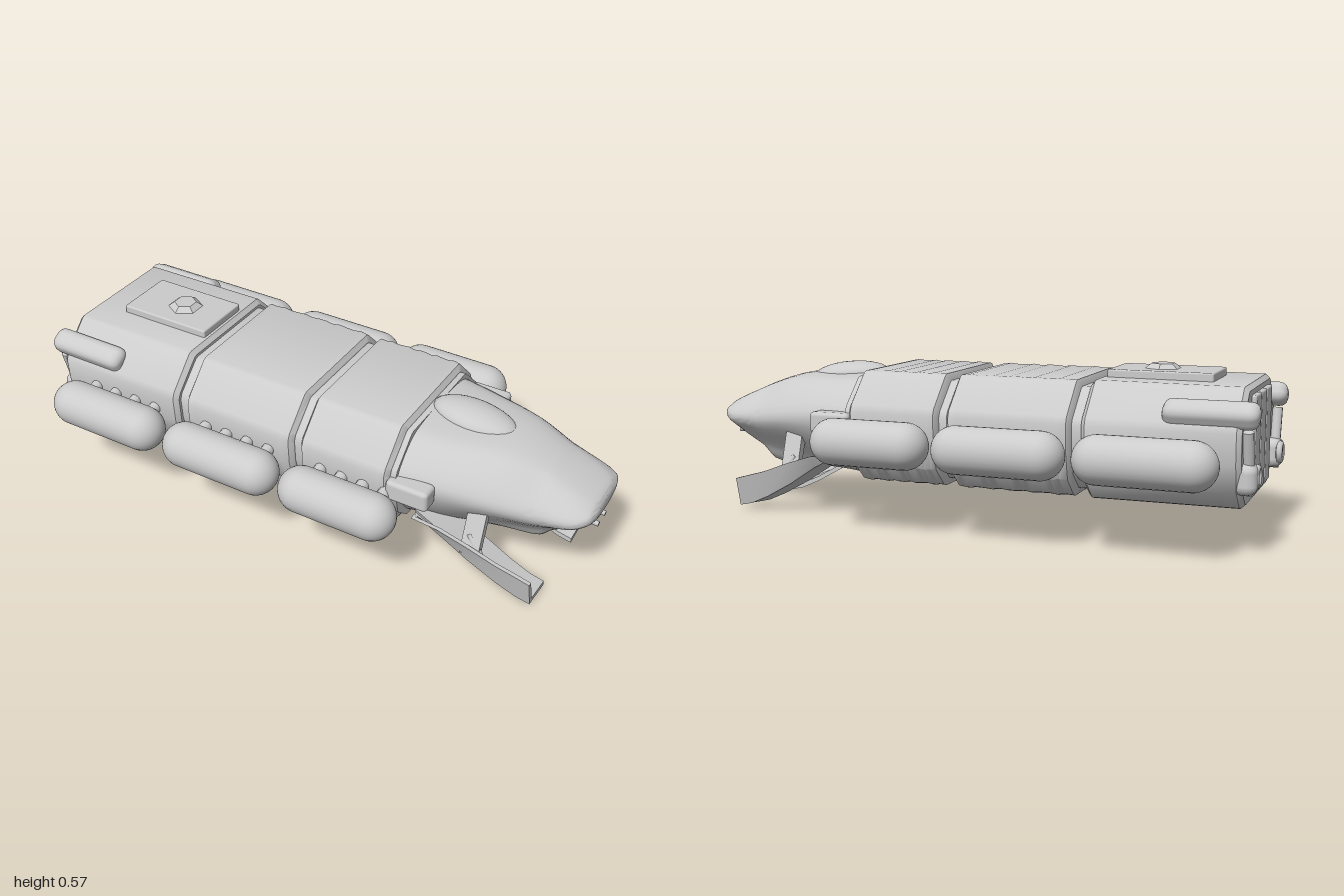
import * as THREE from 'three';
import { toCreasedNormals } from 'three/addons/utils/BufferGeometryUtils.js';
import { RoundedBoxGeometry } from 'three/addons/geometries/RoundedBoxGeometry.js';

const grey = new THREE.MeshStandardMaterial({ color: 0xcccccc });

// Skin a list of rings [x, [[z, y], ...]] and close both ends.
function loft(rings, crease = 0.6) {
  const n = rings[0][1].length, pos = [], idx = [];
  for (const [x, pts] of rings) for (const [z, y] of pts) pos.push(x, y, z);
  for (let s = 0; s < rings.length - 1; s++) {
    for (let i = 0; i < n; i++) {
      const a = s * n + i, b = s * n + (i + 1) % n;
      idx.push(a, b, a + n, b, b + n, a + n);
    }
  }
  for (const [s, flip] of [[0, true], [rings.length - 1, false]]) {
    const [x, pts] = rings[s], c = pos.length / 3;
    const mid = k => pts.reduce((t, p) => t + p[k], 0) / n;
    pos.push(x, mid(1), mid(0));
    for (let i = 0; i < n; i++) {
      const a = s * n + i, b = s * n + (i + 1) % n;
      flip ? idx.push(c, b, a) : idx.push(c, a, b);
    }
  }
  const g = new THREE.BufferGeometry();
  g.setAttribute('position', new THREE.Float32BufferAttribute(pos, 3));
  g.setIndex(idx);
  return toCreasedNormals(g, crease);
}

// Full ring from the +z half listed top to bottom.
const mirrorRing = half => [...half, ...half.map(([z, y]) => [-z, y]).reverse()];

export function createModel() {
  const model = new THREE.Group();
  const add = (name, geo, x = 0, y = 0, z = 0) => {
    const m = new THREE.Mesh(geo, grey);
    m.name = name;
    m.position.set(x, y, z);
    model.add(m);
    return m;
  };
  const box = (name, w, h, d, x, y, z, r = 0.01) =>
    add(name, new RoundedBoxGeometry(w, h, d, 2, r), x, y, z);
  // Straight round bar between two points
  const bar = (name, p, q, r) => {
    const a = new THREE.Vector3(...p), b = new THREE.Vector3(...q);
    const m = add(name, new THREE.CylinderGeometry(r, r, a.distanceTo(b), 10));
    m.position.copy(a).lerp(b, 0.5);
    m.quaternion.setFromUnitVectors(new THREE.Vector3(0, 1, 0), b.sub(a).normalize());
    return m;
  };

  // Hull sections: chamfered outline scaled about its middle
  const outline = [[0.2, 0.527], [0.215, 0.522], [0.315, 0.42], [0.325, 0.395], [0.32, 0.3],
    [0.297, 0.21], [0.23, 0.148], [0.21, 0.142]];
  const hullRing = (x, inset) => [x, mirrorRing(outline.map(([z, y]) =>
    [z * (1 - inset / 0.32), 0.335 + (y - 0.335) * (1 - inset / 0.19)]))];
  add('hullCore', loft([hullRing(-0.93, 0.025), hullRing(0.4, 0.025)]));
  add('rearHull', loft([hullRing(-0.95, 0.015), hullRing(-0.935, 0.002), hullRing(-0.46, 0),
    hullRing(-0.445, 0.015)]));
  // Cloth covered sections, slightly rippled along their length
  for (const [name, x0, x1] of [['middleHull', -0.41, 0.02], ['frontHull', 0.05, 0.38]]) {
    const rings = [hullRing(x0, 0.02)];
    for (let i = 0; i <= 14; i++) {
      const x = x0 + 0.012 + (x1 - x0 - 0.024) * i / 14;
      rings.push(hullRing(x, 0.002 + 0.002 * Math.sin(i * 2.3)));
    }
    rings.push(hullRing(x1, 0.02));
    add(name, loft(rings));
  }

  // Nose: half sections smoothed along the length and around
  const noseSections = [
    [0.36, [[0.11, 0.5], [0.2, 0.48], [0.295, 0.385], [0.295, 0.32], [0.24, 0.22], [0.15, 0.15]]],
    [0.52, [[0.11, 0.49], [0.18, 0.47], [0.265, 0.38], [0.262, 0.32], [0.19, 0.21], [0.12, 0.158]]],
    [0.7, [[0.09, 0.48], [0.15, 0.455], [0.225, 0.365], [0.225, 0.32], [0.13, 0.21], [0.08, 0.155]]],
    [0.82, [[0.08, 0.443], [0.13, 0.415], [0.192, 0.35], [0.192, 0.31], [0.11, 0.22], [0.07, 0.165]]],
    [0.86, [[0.08, 0.427], [0.125, 0.405], [0.183, 0.345], [0.182, 0.31], [0.11, 0.24], [0.07, 0.205]]],
    [0.95, [[0.07, 0.39], [0.11, 0.378], [0.16, 0.34], [0.16, 0.315], [0.1, 0.275], [0.06, 0.255]]],
    [0.99, [[0.055, 0.37], [0.085, 0.363], [0.125, 0.345], [0.125, 0.325], [0.08, 0.3], [0.045, 0.29]]],
    [1.0, [[0.04, 0.355], [0.06, 0.35], [0.09, 0.342], [0.09, 0.332], [0.06, 0.318], [0.035, 0.313]]],
  ];
  const rails = noseSections[0][1].map((_, k) => new THREE.CatmullRomCurve3(
    noseSections.map(([x, p]) => new THREE.Vector3(x, p[k][1], p[k][0])), false, 'centripetal'));
  const noseRings = [];
  for (let i = 0; i <= 28; i++) {
    const half = rails.map(c => c.getPoint(i / 28));
    const ring = new THREE.CatmullRomCurve3(mirrorRing(half.map(p => [p.z, p.y]))
      .map(([z, y]) => new THREE.Vector3(0, y, z)), true, 'centripetal');
    noseRings.push([half[0].x, ring.getPoints(48).slice(0, 48).map(p => [p.z, p.y])]);
  }
  add('nose', loft(noseRings, 1));

  // Low canopy swelling on top of the nose
  const canopy = add('canopy', new THREE.SphereGeometry(1, 24, 16), 0.53, 0.485, 0);
  canopy.scale.set(0.15, 0.047, 0.08);
  canopy.rotation.z = -0.1;

  // Roof hatch with hexagonal cap
  box('hatchPlate', 0.35, 0.035, 0.22, -0.645, 0.535, 0, 0.006);
  add('hatchCap', toCreasedNormals(new THREE.CylinderGeometry(0.04, 0.064, 0.018, 6), 0.3),
    -0.63, 0.56, 0);

  // Rear door leaves and lower step
  for (const z of [-0.105, 0, 0.105]) box('rearDoorPanel', 0.03, 0.32, 0.1, -0.95, 0.335, z, 0.008);

  for (const s of [1, -1]) {
    const side = s > 0 ? 'left' : 'right';
    // Side floats and their mounts
    for (const [x0, x1] of [[-0.905, -0.45], [-0.425, 0.02], [0.04, 0.46]]) {
      const r = 0.079;
      const f = add(side + 'Float', new THREE.CapsuleGeometry(r, x1 - x0 - 2 * r, 10, 28),
        (x0 + x1) / 2, 0.307, s * 0.417);
      f.rotation.z = Math.PI / 2;
      for (const t of [0.22, 0.41, 0.6, 0.79]) {
        const x = x0 + (x1 - x0) * t;
        bar(side + 'FloatMount', [x, 0.335, s * 0.3], [x, 0.32, s * 0.37], 0.022);
      }
    }
    // Collar joining hull and nose
    box(side + 'Collar', 0.15, 0.075, 0.07, 0.45, 0.35, s * 0.295, 0.015);

    // Rear corner pods and lamps
    const pod = box(side + 'RearPod', 0.3, 0.075, 0.085, -0.85, 0.448, s * 0.285, 0.03);
    pod.rotation.x = s * 0.5;
    box(side + 'RearBlock', 0.08, 0.1, 0.09, -0.955, 0.25, s * 0.255, 0.03);
    const lamp = add(side + 'RearLamp', new THREE.TorusGeometry(0.028, 0.011, 8, 20),
      -0.987, 0.255, s * 0.235);
    lamp.rotation.y = Math.PI / 2;
    bar(side + 'RearBumper', [-0.965, 0.2, s * 0.24], [-0.965, 0.4, s * 0.29], 0.018);

    // Skid: curved floor with an upright outer wall. Each row: x, floor y, wall top y, outer z
    const runs = [[0.45, 0.215, 0.228, 0.265], [0.55, 0.165, 0.222, 0.268], [0.65, 0.1, 0.19, 0.262],
      [0.75, 0.045, 0.152, 0.255], [0.82, 0.014, 0.132, 0.25], [0.87, 0.003, 0.118, 0.248]];
    const sided = pts => s > 0 ? pts : pts.map(([z, y]) => [-z, y]).reverse();
    add(side + 'SkidFloor', loft(runs.map(([x, y, , z]) => [x, sided(
      [[0.12, y + 0.018], [z - 0.015, y + 0.028], [z - 0.02, y + 0.012], [0.12, y]])])));
    add(side + 'SkidWall', loft(runs.map(([x, y, t, z]) => [x, sided(
      [[z, t], [z + 0.015, t], [z - 0.01, y + 0.012], [z - 0.03, y + 0.012]])])));
    // Slanted strut from nose to skid
    const strut = add(side + 'SkidStrut', loft([[0.615, 0], [0.68, 0]].map(([x]) => [x, sided(
      [[0.18, 0.3], [0.21, 0.3], [0.26, 0.145], [0.235, 0.135]])])));
    strut.position.x = 0.005;
    bar(side + 'SkidBrace', [0.64, 0.21, s * 0.23], [0.7, 0.13, s * 0.25], 0.012);

    // Small prongs under the nose tip
    bar(side + 'NoseProng', [0.88, 0.27, s * 0.03], [0.995, 0.258, s * 0.03], 0.009);
  }
  return model;
}
